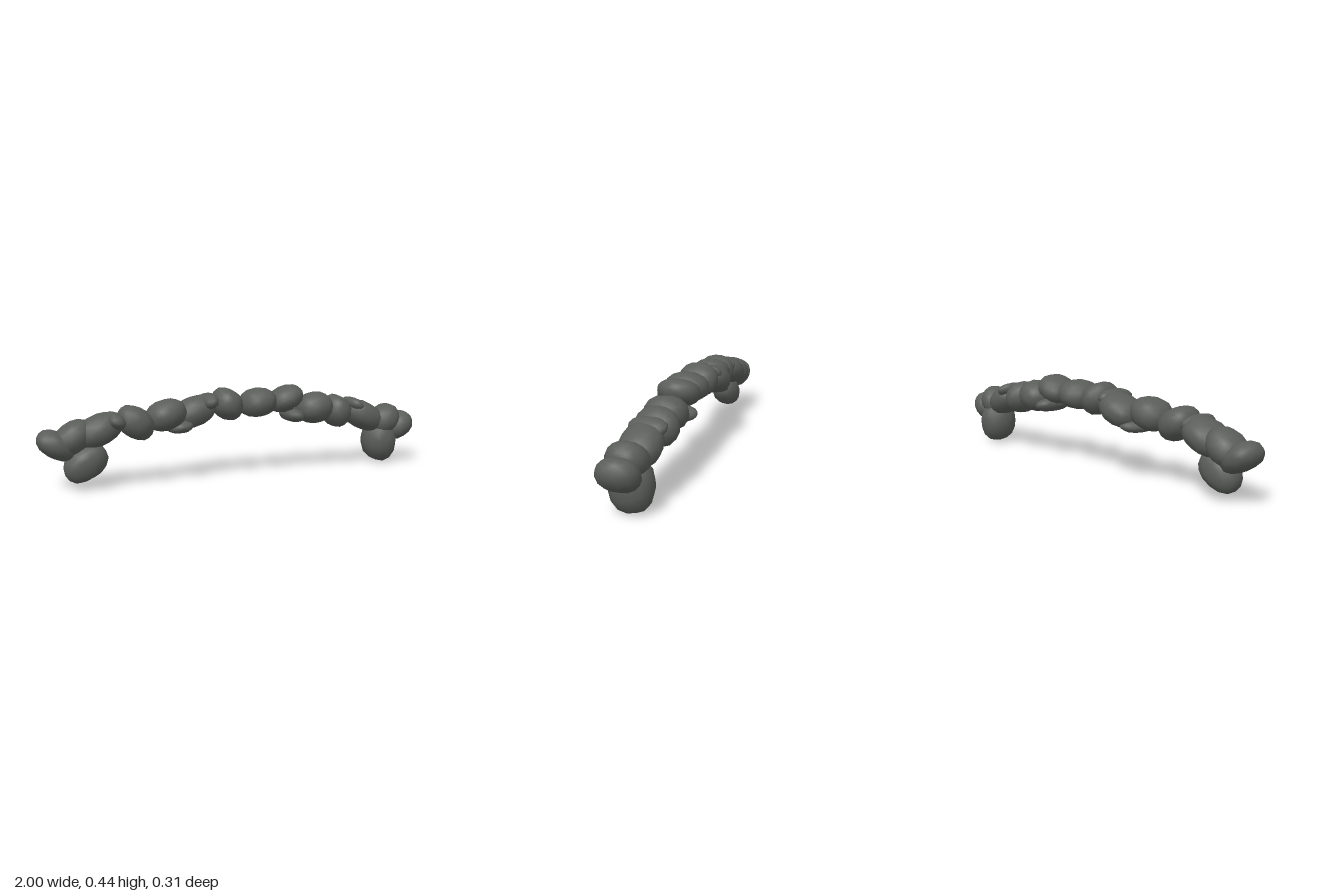
import * as THREE from 'three';
import { mergeVertices } from 'three/addons/utils/BufferGeometryUtils.js';

// Each stone: name, x range, y range, z range, tilt in degrees about z
const stones = [
  ['leftEndStone', -1.0, -0.82, 0.13, 0.28, -0.05, 0.125, -30],
  ['leftShoulderStone', -0.93, -0.74, 0.15, 0.32, -0.06, 0.125, 30],
  ['leftHaunchStone', -0.83, -0.61, 0.18, 0.345, -0.065, 0.13, 20],
  ['leftFootStone', -0.885, -0.68, 0.03, 0.21, -0.02, 0.128, 25],
  ['leftWedge', -0.69, -0.6, 0.265, 0.35, -0.04, 0.155, -25],
  ['archStone', -0.635, -0.46, 0.21, 0.375, -0.055, 0.14, -25],
  ['archStone', -0.49, -0.295, 0.24, 0.395, -0.08, 0.115, 10],
  ['lowerWedge', -0.385, -0.26, 0.225, 0.29, -0.1, 0.09, 5],
  ['archStone', -0.35, -0.13, 0.24, 0.4, -0.13, 0.065, 15],
  ['upperWedge', -0.215, -0.13, 0.33, 0.41, -0.11, 0.085, 10],
  ['archStone', -0.15, 0.005, 0.27, 0.435, -0.12, 0.08, -20],
  ['keystone', 0.0, 0.185, 0.28, 0.425, -0.13, 0.085, 5],
  ['archStone', 0.165, 0.34, 0.295, 0.434, -0.14, 0.06, 20],
  ['lowerWedge', 0.24, 0.345, 0.24, 0.315, -0.145, 0.055, -10],
  ['archStone', 0.325, 0.515, 0.23, 0.39, -0.145, 0.055, 5],
  ['archStone', 0.475, 0.625, 0.2, 0.375, -0.155, 0.045, -25],
  ['rightWedge', 0.61, 0.705, 0.275, 0.355, -0.145, 0.03, -25],
  ['rightHaunchStone', 0.605, 0.82, 0.165, 0.34, -0.145, 0.04, -25],
  ['rightShoulderStone', 0.75, 0.92, 0.14, 0.31, -0.135, 0.045, 25],
  ['rightEndStone', 0.84, 1.0, 0.115, 0.27, -0.135, 0.05, 30],
  ['rightFootStone', 0.725, 0.905, 0.0, 0.23, -0.15, 0.045, -15],
];

function seeded(seed) {
  let s = seed * 7919 + 17;
  return () => (s = (s * 16807) % 2147483647) / 2147483647;
}

// A rounded, slightly blocky boulder fitted into the given box
function stoneGeometry([, x0, x1, y0, y1, z0, z1, tilt], seed) {
  const rand = seeded(seed);
  for (let i = 0; i < 5; i++) rand();
  const base = new THREE.IcosahedronGeometry(1, 2);
  base.deleteAttribute('normal');
  base.deleteAttribute('uv');
  const geo = mergeVertices(base, 1e-4);
  const pos = geo.attributes.position;
  const v = new THREE.Vector3();
  const spin = new THREE.Euler(rand() * 6, rand() * 6, rand() * 6);
  const size = new THREE.Vector3(x1 - x0, y1 - y0, z1 - z0);
  const angle = THREE.MathUtils.degToRad(tilt);
  const axis = new THREE.Vector3(0, 0, 1);
  const power = 2.3;
  for (let i = 0; i < pos.count; i++) {
    v.fromBufferAttribute(pos, i).applyEuler(spin);
    const norm = Math.abs(v.x) ** power + Math.abs(v.y) ** power + Math.abs(v.z) ** power;
    v.multiplyScalar(norm ** (-1 / power) * (0.98 + 0.04 * rand()));
    v.multiply(size);
    // lengthen along the tilted axis
    v.x *= 1.15;
    v.y *= 0.87;
    v.applyAxisAngle(axis, angle);
    pos.setXYZ(i, v.x, v.y, v.z);
  }
  geo.center();
  geo.computeBoundingBox();
  const b = geo.boundingBox.getSize(v);
  geo.scale(size.x / b.x, size.y / b.y, size.z / b.z);
  geo.computeVertexNormals();
  return geo;
}

export function createModel() {
  const group = new THREE.Group();
  group.name = 'stoneArch';
  const stone = new THREE.MeshStandardMaterial({ color: 0x5a5d5a });
  stone.name = 'darkStone';
  stones.forEach((s, i) => {
    const mesh = new THREE.Mesh(stoneGeometry(s, i + 1), stone);
    mesh.name = s[0];
    mesh.position.set((s[1] + s[2]) / 2, (s[3] + s[4]) / 2, (s[5] + s[6]) / 2);
    group.add(mesh);
  });
  return group;
}
